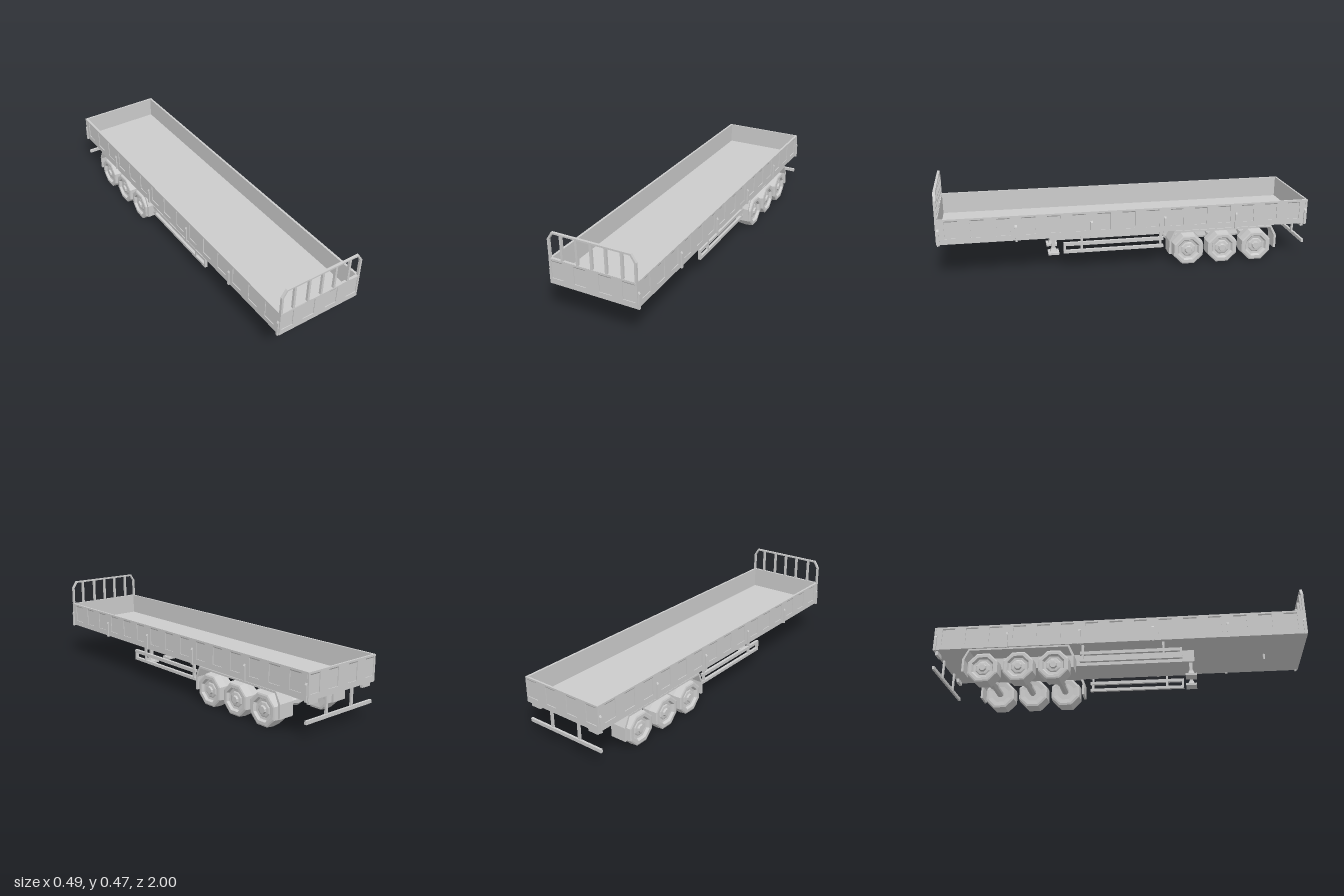
import * as THREE from 'three';

const material = new THREE.MeshStandardMaterial({ color: 0xcccccc, flatShading: true, side: THREE.DoubleSide });

function add(parent, name, geometry, x = 0, y = 0, z = 0) {
  const mesh = new THREE.Mesh(geometry, material);
  mesh.name = name;
  mesh.position.set(x, y, z);
  parent.add(mesh);
  return mesh;
}

// Box given by its extents on each axis
function box(parent, name, [x0, x1], [y0, y1], [z0, z1]) {
  return add(parent, name, new THREE.BoxGeometry(x1 - x0, y1 - y0, z1 - z0),
    (x0 + x1) / 2, (y0 + y1) / 2, (z0 + z1) / 2);
}

const polygon = (Type, points) => new Type(points.map(([x, y]) => new THREE.Vector2(x, y)));
const extrude = (shape, depth) => new THREE.ExtrudeGeometry(shape, { depth, bevelEnabled: false });

// Upright board facing +z with shallow pockets whose top edge slopes inward
function pocketWall(name, length, thickness, centres, pocketWidth) {
  const wall = new THREE.Group();
  wall.name = name;
  const relief = 0.004, h = length / 2, w = pocketWidth / 2, top = 0.325;
  const shape = polygon(THREE.Shape, [[-h, 0.2], [h, 0.2], [h, 0.335], [-h, 0.335]]);
  for (const c of centres) {
    shape.holes.push(polygon(THREE.Path, [[c - w, 0.23], [c - w, top], [c + w, top], [c + w, 0.23]]));
  }
  const face = extrude(shape, relief);
  const p = face.attributes.position;
  for (let i = 0; i < p.count; i++) {
    if (Math.abs(p.getY(i) - top) < 1e-4 && p.getZ(i) < 1e-4) p.setY(i, top - 0.006);
  }
  face.computeVertexNormals();
  add(wall, name + 'Face', face, 0, 0, -relief);
  box(wall, name + 'Core', [-h, h], [0.2, 0.335], [-thickness, -relief]);
  return wall;
}

function addBed(model) {
  box(model, 'floor', [-0.23, 0.23], [0.2, 0.22], [-0.992, 0.99]);
  const endPockets = [-0.194, -0.068, 0.068, 0.194];
  const front = pocketWall('frontWall', 0.474, 0.015, endPockets, 0.065);
  front.position.z = 1;
  const rear = pocketWall('rearWall', 0.474, 0.01, endPockets, 0.065);
  rear.rotation.y = Math.PI;
  rear.position.z = -1;
  model.add(front, rear);

  // Three pockets in each of the five bays
  const sidePockets = [];
  for (let i = 0; i < 15; i++) sidePockets.push((i - 7) * 0.1315);
  for (const s of [-1, 1]) {
    const side = pocketWall(s > 0 ? 'leftWall' : 'rightWall', 1.978, 0.012, sidePockets, 0.07);
    side.rotation.y = s * Math.PI / 2;
    side.position.x = s * 0.237;
    model.add(side);
    // Stakes between the drop sides, chamfered at the top
    const stake = polygon(THREE.Shape, [[s * 0.23, 0.195], [s * 0.244, 0.195], [s * 0.244, 0.275], [s * 0.236, 0.286], [s * 0.23, 0.286]]);
    for (let i = 0; i < 6; i++) add(model, 'sideStake', extrude(stake, 0.012), 0, 0, -0.994 + i * 0.3952);
  }
}

function addHeadboard(model) {
  const shape = polygon(THREE.Shape, [[-0.237, 0.33], [0.237, 0.33], [0.237, 0.435], [0.211, 0.475], [-0.211, 0.475], [-0.237, 0.435]]);
  for (const [a, b] of [[-0.072, -0.006], [0.006, 0.072], [-0.156, -0.084], [0.084, 0.156]]) {
    shape.holes.push(polygon(THREE.Path, [[a, 0.336], [a, 0.466], [b, 0.466], [b, 0.336]]));
  }
  for (const s of [-1, 1]) {
    shape.holes.push(polygon(THREE.Path, [[s * 0.168, 0.336], [s * 0.168, 0.466], [s * 0.206, 0.466], [s * 0.226, 0.433], [s * 0.226, 0.336]]));
  }
  add(model, 'headboardFrame', extrude(shape, 0.013), 0, 0, 0.986);
}

function addChassis(model) {
  box(model, 'chassis', [-0.093, 0.093], [0.133, 0.2], [-0.84, 0.41]);
  add(model, 'kingPin', new THREE.CylinderGeometry(0.006, 0.006, 0.035, 8), 0, 0.1865, 0.79);
  for (const s of [-1, 1]) {
    // Landing gear
    const x = s * 0.069;
    box(model, 'landingLeg', [x - 0.009, x + 0.009], [0.075, 0.14], [0.381, 0.399]);
    const ankle = new THREE.CylinderGeometry(0.016, 0.026, 0.022, 4);
    ankle.rotateY(Math.PI / 4);
    add(model, 'landingAnkle', ankle, x, 0.073, 0.39);
    box(model, 'landingFoot', [x - 0.031, x + 0.031], [0.05, 0.062], [0.36, 0.42]);

    // Side guard
    const gx = [s * 0.209 - 0.008, s * 0.209 + 0.008];
    box(model, 'guardUpperRail', gx, [0.143, 0.161], [-0.195, 0.345]);
    box(model, 'guardLowerRail', gx, [0.102, 0.118], [-0.195, 0.345]);
    box(model, 'guardFrontEnd', gx, [0.102, 0.161], [0.335, 0.347]);
    for (const z of [0.25, -0.18]) {
      box(model, 'guardPost', [s * 0.209 - 0.006, s * 0.209 + 0.006], [0.105, 0.2], [z - 0.006, z + 0.006]);
    }

    // Rear bumper posts and lamps
    box(model, 'bumperPost', [s * 0.09 - 0.007, s * 0.09 + 0.007], [0.09, 0.2], [-0.987, -0.977]);
    box(model, 'rearLamp', [s * 0.19 - 0.03, s * 0.19 + 0.03], [0.178, 0.2], [-0.99, -0.975]);
  }
  box(model, 'rearBumper', [-0.235, 0.235], [0.087, 0.105], [-0.992, -0.98]);
}

function addRunningGear(model) {
  // Radius and offset along the axle, inner face to hub
  const tyre = [[0, -0.042], [0.05, -0.042], [0.075, -0.045], [0.087, -0.042], [0.091, 0], [0.087, 0.042],
    [0.079, 0.045], [0.063, 0.045], [0.055, 0.032], [0.042, 0.03], [0.036, 0.034], [0.022, 0.036], [0.018, 0.045], [0, 0.045]];
  const axle = [[0.019, -0.16], [0.019, -0.04], [0.028, 0], [0.019, 0.04], [0.019, 0.16]];
  const lathe = (points, sign) => new THREE.LatheGeometry(
    points.map(([r, y]) => new THREE.Vector2(r, y)), 8, Math.PI / 8).rotateZ(-sign * Math.PI / 2);
  for (const z of [-0.333, -0.523, -0.715]) {
    add(model, 'axle', lathe(axle, 1), 0, 0.085, z);
    for (const s of [-1, 1]) add(model, 'wheel', lathe(tyre, s), s * 0.193, 0.085, z);
  }

  // Mudguards: a bent sheet over all three wheels
  const guard = polygon(THREE.Shape, [[-0.224, 0.066], [-0.224, 0.14], [-0.252, 0.197], [-0.8, 0.197], [-0.83, 0.14], [-0.83, 0.066],
    [-0.818, 0.066], [-0.818, 0.136], [-0.794, 0.187], [-0.258, 0.187], [-0.236, 0.136], [-0.236, 0.066]]);
  for (const s of [-1, 1]) {
    // Shape x becomes world z
    add(model, 'mudguard', extrude(guard, 0.088).rotateY(-Math.PI / 2), s * 0.191 + 0.044);
  }
}

export function createModel() {
  const model = new THREE.Group();
  model.name = 'flatbedTrailer';
  addBed(model);
  addHeadboard(model);
  addChassis(model);
  addRunningGear(model);
  return model;
}
